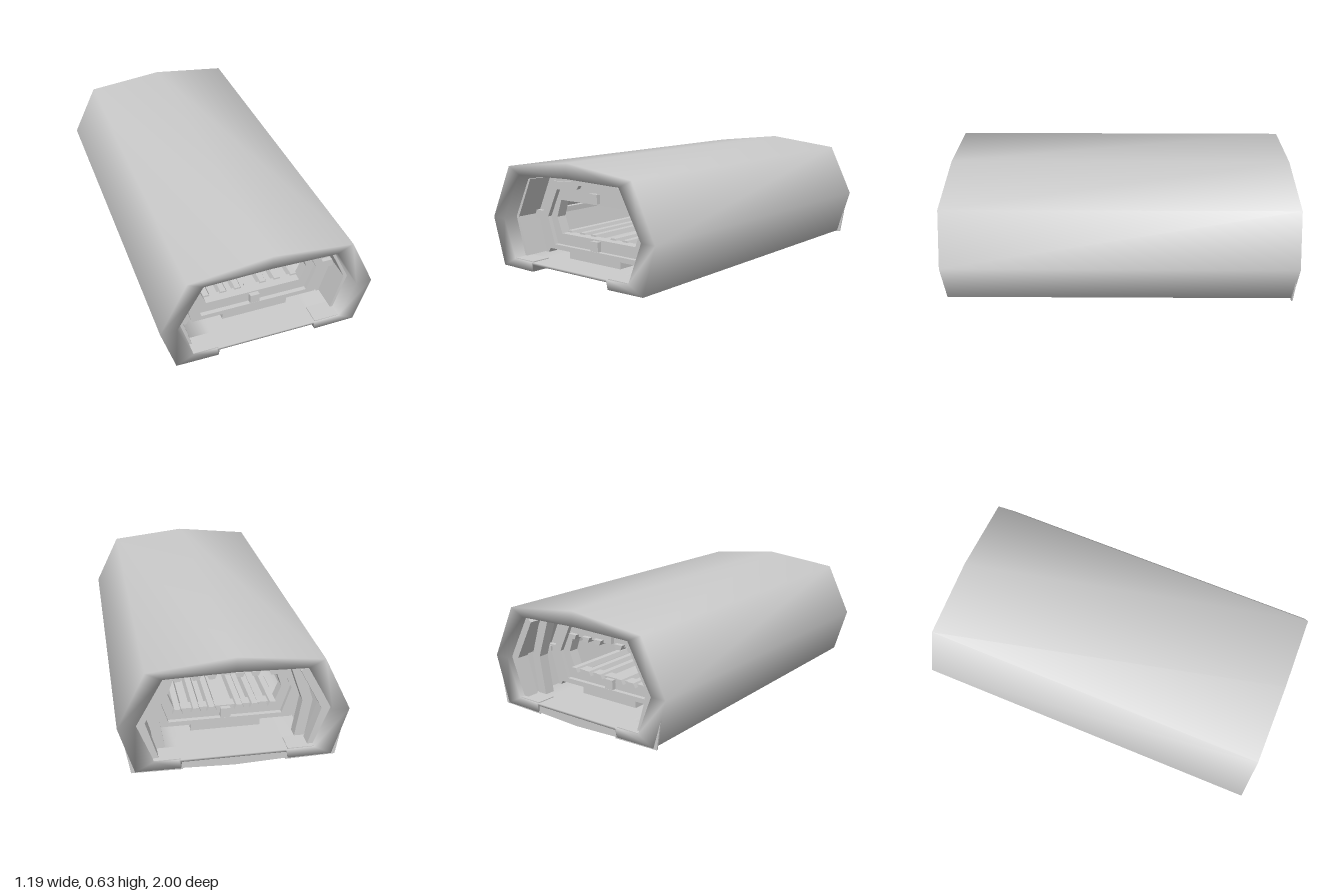
import * as THREE from 'three';
import { toCreasedNormals } from 'three/addons/utils/BufferGeometryUtils.js';

const material = new THREE.MeshStandardMaterial({ color: 0xcccccc, side: THREE.DoubleSide });

// Mirror a half outline (top centre to bottom centre) into a closed loop.
const mirror = (half) => [
  ...half,
  ...half.slice(1, -1).reverse().map(([x, y]) => [-x, y]),
];

// Hollow ring between two half outlines, running from z0 (front) to z1 (back).
function ring(outerHalf, innerHalf, z0, z1, smooth = false) {
  const outer = mirror(outerHalf), inner = mirror(innerHalf), n = outer.length;
  const loops = [[outer, z0], [outer, z1], [inner, z1], [inner, z0]];
  const positions = [], index = [];
  for (const [loop, z] of loops) for (const [x, y] of loop) positions.push(x, y, z);
  for (let i = 0; i < 4; i++) {
    for (let j = 0; j < n; j++) {
      const k = (j + 1) % n, r = ((i + 1) % 4) * n;
      const a = i * n + j, b = i * n + k, c = r + j, d = r + k;
      index.push(a, b, c, b, d, c);
    }
  }
  const geometry = new THREE.BufferGeometry();
  geometry.setAttribute('position', new THREE.Float32BufferAttribute(positions, 3));
  geometry.setIndex(index);
  geometry.computeVertexNormals();
  return smooth ? geometry : toCreasedNormals(geometry, 0.5);
}

const toShape = (points) => new THREE.Shape(points.map(([x, y]) => new THREE.Vector2(x, y)));

// Solid prism of an outline from z0 back to z1.
const prism = (points, z0, z1) =>
  new THREE.ExtrudeGeometry(toShape(points), { depth: z0 - z1, bevelEnabled: false }).translate(0, 0, z1);

// Outlines from the top centre down the left side to the bottom centre.
const shellOuter = [[0, 0.627], [0.45, 0.577], [0.595, 0.28], [0.515, 0.015], [0.28, 0.012], [0.275, 0.05], [0, 0.05]];
const shellInner = [[0, 0.545], [0.365, 0.535], [0.505, 0.28], [0.42, 0.065], [0.29, 0.063], [0.27, 0.063], [0, 0.063]];
const frameOuter = [[0, 0.52], [0.14, 0.508], [0.16, 0.492], [0.315, 0.485], [0.41, 0.28], [0.365, 0.1], [0, 0.1]];
const frameInner = [[0, 0.487], [0.11, 0.475], [0.125, 0.455], [0.28, 0.442], [0.36, 0.28], [0.31, 0.127], [0, 0.127]];
const wallInner = [[0, 0.38], [0.09, 0.38], [0.12, 0.38], [0.275, 0.38], [0.31, 0.28], [0.275, 0.19], [0, 0.19]];

export function createModel() {
  const model = new THREE.Group();

  const add = (name, geometry, parent = model) => {
    const mesh = new THREE.Mesh(geometry, material);
    mesh.name = name;
    parent.add(mesh);
  };
  // Box given by its limits.
  const box = (name, x0, x1, y0, y1, z0, z1, parent) =>
    add(name, new THREE.BoxGeometry(x1 - x0, y1 - y0, z0 - z1)
      .translate((x0 + x1) / 2, (y0 + y1) / 2, (z0 + z1) / 2), parent);
  // The same prism on both sides.
  const pair = (name, points, z0, z1, parent) => {
    for (const s of [-1, 1]) add(name, prism(points.map(([x, y]) => [s * x, y]), z0, z1), parent);
  };

  // Outer hull with its sunken belly
  add('outerShell', ring(shellOuter, shellInner, 1, -1, true));

  // Frame stations along the corridor
  for (const z of [0.755, 0.04, -0.685]) {
    const station = new THREE.Group();
    station.name = 'frameStation';
    model.add(station);
    const front = z + 0.055, back = z - 0.055;
    add('innerFrame', ring(frameOuter, frameInner, front, back), station);
    add('windowBulkhead', ring(frameInner, wallInner, front - 0.025, back + 0.025), station);
    for (const [z0, z1] of [[front, front - 0.03], [back + 0.03, back]]) {
      box('lowerLatch', -0.027, 0.027, 0.128, 0.183, z0, z1, station);
      box('upperLatch', -0.027, 0.027, 0.39, 0.442, z0, z1, station);
    }
    box('bottomBlock', -0.19, 0.19, 0.06, 0.105, front, back, station);
    // Bowed belly crossbar between the keel rails
    add('bellyCrossbar', prism([[-0.28, 0.013], [-0.13, 0.004], [0, 0], [0.13, 0.004], [0.28, 0.013], [0.28, 0.055], [-0.28, 0.055]],
      front, back), station);
    // Web closing the gap between the frame and the hull side
    pair('sideWeb', [[0.37, 0.533], [0.503, 0.28], [0.42, 0.066], [0.39, 0.066], [0.37, 0.1], [0.405, 0.28], [0.315, 0.48]],
      z + 0.03, z - 0.03, station);
    pair('upperBracket', [[0.16, 0.49], [0.32, 0.48], [0.37, 0.538], [0.18, 0.54]], z + 0.04, z - 0.04, station);
    pair('sideBracket', [[0.395, 0.262], [0.47, 0.262], [0.48, 0.285], [0.47, 0.308], [0.395, 0.308]], front, back, station);
  }

  // Folded side lining, upper ducts and stringers along the length
  pair('sidePanel', [[0.375, 0.505], [0.485, 0.285], [0.42, 0.07], [0.405, 0.07], [0.465, 0.285], [0.36, 0.505]], 0.93, -0.9);
  pair('upperDuct', [[0.22, 0.5], [0.31, 0.495], [0.345, 0.53], [0.24, 0.535]], 0.7, -0.65);
  pair('sideStringer', [[0.424, 0.27], [0.456, 0.27], [0.456, 0.3], [0.424, 0.3]], 0.75, -0.75);

  // Longitudinal floor and ceiling beams, seen as teeth through the bulkheads
  for (const x of [0.075, 0.16, 0.26]) {
    for (const [name, base, tip] of [['floorBeam', 0.175, 0.2], ['ceilingBeam', 0.395, 0.368]]) {
      pair(name, [[x - 0.028, base], [x + 0.028, base], [x + 0.016, tip], [x - 0.016, tip]], 0.74, -0.74);
    }
  }

  // Corner sills at both mouths
  for (const z of [0.94, -0.94]) {
    pair('cornerSill', [[0.28, 0.02], [0.42, 0.02], [0.42, 0.068], [0.28, 0.068]], z + 0.055, z - 0.055);
  }

  // Back mouth: a rib on the hull and a kinked upright behind it
  pair('backRib', [[0.37, 0.532], [0.503, 0.28], [0.42, 0.066], [0.39, 0.066], [0.455, 0.28], [0.335, 0.505]], -0.9, -0.97);
  pair('backUpright', [[0.29, 0.538], [0.35, 0.538], [0.435, 0.28], [0.4, 0.064], [0.345, 0.064], [0.38, 0.28]], -0.82, -0.88);

  // Thin fin around the lower back corners
  pair('cornerFin', [[0.27, 0.004], [0.535, 0.01], [0.562, 0.17], [0.55, 0.17], [0.51, 0.02], [0.27, 0.014]], -0.99, -0.998);

  // Bowed back belly plate with a recess across it
  const bow = [[-0.28, 0.012], [0, 0.001], [0.28, 0.012], [0.28, 0.055], [-0.28, 0.055]];
  add('backBellyPlate', prism(bow, -0.84, -0.9));
  add('backBellyLip', prism(bow, -0.965, -0.998));
  pair('backBellyEnd', [[0.2, 0.005], [0.28, 0.012], [0.28, 0.055], [0.2, 0.055]], -0.9, -0.965);

  return model;
}
